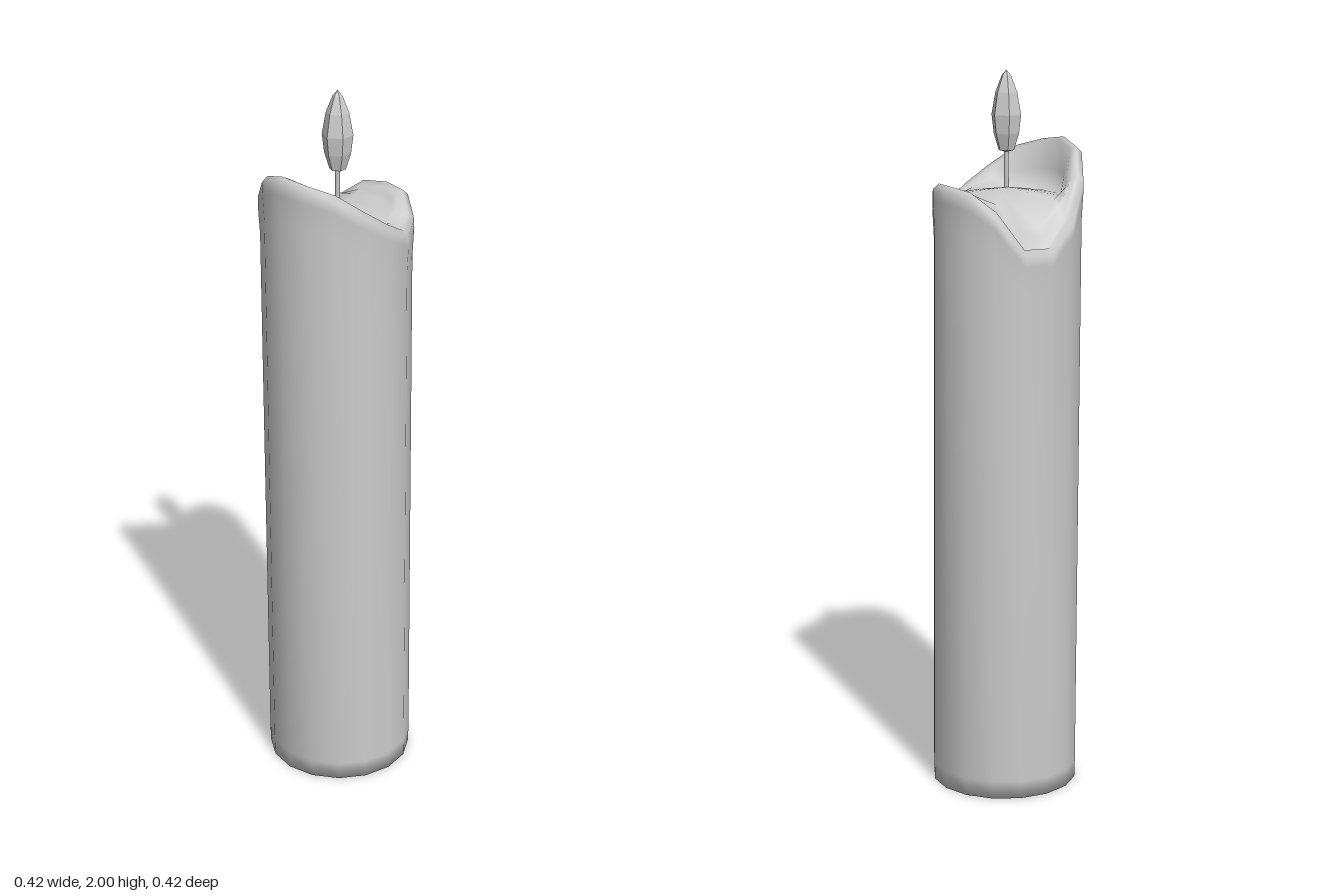
import * as THREE from 'three';

const SIDES = 16;
// height of the melted rim, every 22.5 degrees from +x towards +z
const RIM = [1.64, 1.68, 1.73, 1.78, 1.80, 1.81, 1.79, 1.72, 1.61, 1.54, 1.54, 1.64, 1.69, 1.70, 1.70, 1.66];

// rings from the underside, up the wall, over the rim and into the pool: [radius, height from rim height]
const RINGS = [
  [0, () => 0.006],
  [0.15, () => 0.003],
  [0.203, () => 0],
  [0.204, () => 0.05],
  [0.203, h => h - 0.12],
  [0.207, h => h - 0.045],
  [0.207, h => h - 0.015],
  [0.191, h => h],
  [0.175, h => h - 0.008],
  [0.158, h => THREE.MathUtils.lerp(h, Math.min(1.665, h + 0.05), 0.6)],
  [0.145, h => Math.min(1.665, h + 0.05)],
  [0.08, h => THREE.MathUtils.lerp(1.68, Math.min(1.665, h + 0.05), 0.4)],
  [0, () => 1.685],
];

function waxGeometry() {
  const pos = [], index = [];
  for (const [r, height] of RINGS) {
    for (let j = 0; j < SIDES; j++) {
      const a = (j / SIDES) * Math.PI * 2 - 0.07;
      const y = height(RIM[j]);
      // slight lean of the whole candle
      const lean = 0.004 - 0.005 * y;
      pos.push(r * Math.cos(a) + lean, y, r * Math.sin(a) - lean * 0.6);
    }
  }
  for (let i = 0; i < RINGS.length - 1; i++) {
    for (let j = 0; j < SIDES; j++) {
      const a = i * SIDES + j, b = i * SIDES + (j + 1) % SIDES;
      const c = a + SIDES, d = b + SIDES;
      if (RINGS[i + 1][0] > 0) index.push(a, c, d);
      else index.push(a, c, b);
      if (RINGS[i][0] > 0 && RINGS[i + 1][0] > 0) index.push(a, d, b);
    }
  }
  const geo = new THREE.BufferGeometry();
  geo.setAttribute('position', new THREE.Float32BufferAttribute(pos, 3));
  geo.setIndex(index);
  geo.computeVertexNormals();
  // the pole points share one upward or downward normal
  const n = geo.attributes.normal;
  for (let j = 0; j < SIDES; j++) {
    n.setXYZ(j, 0, -1, 0);
    n.setXYZ((RINGS.length - 1) * SIDES + j, 0, 1, 0);
  }
  return geo;
}

export function createModel() {
  const group = new THREE.Group();
  group.name = 'candle';
  const smooth = new THREE.MeshStandardMaterial({ color: 0xcccccc });
  const faceted = new THREE.MeshStandardMaterial({ color: 0xcccccc, flatShading: true });
  const add = (name, geometry, material) => {
    const mesh = new THREE.Mesh(geometry, material);
    mesh.name = name;
    group.add(mesh);
    return mesh;
  };

  // wax body with melted rim and pool
  add('waxBody', waxGeometry(), smooth);

  // wick
  add('wick', new THREE.CylinderGeometry(0.006, 0.007, 0.14, 6), smooth).position.set(0, 1.73, 0.003);

  // six-sided flame
  const profile = [[0, 1.78], [0.022, 1.785], [0.036, 1.83], [0.042, 1.88], [0.031, 1.94], [0.013, 1.985], [0, 2]]
    .map(([r, y]) => new THREE.Vector2(r, y));
  add('flame', new THREE.LatheGeometry(profile, 6, -0.23), faceted).position.z = 0.003;

  return group;
}
